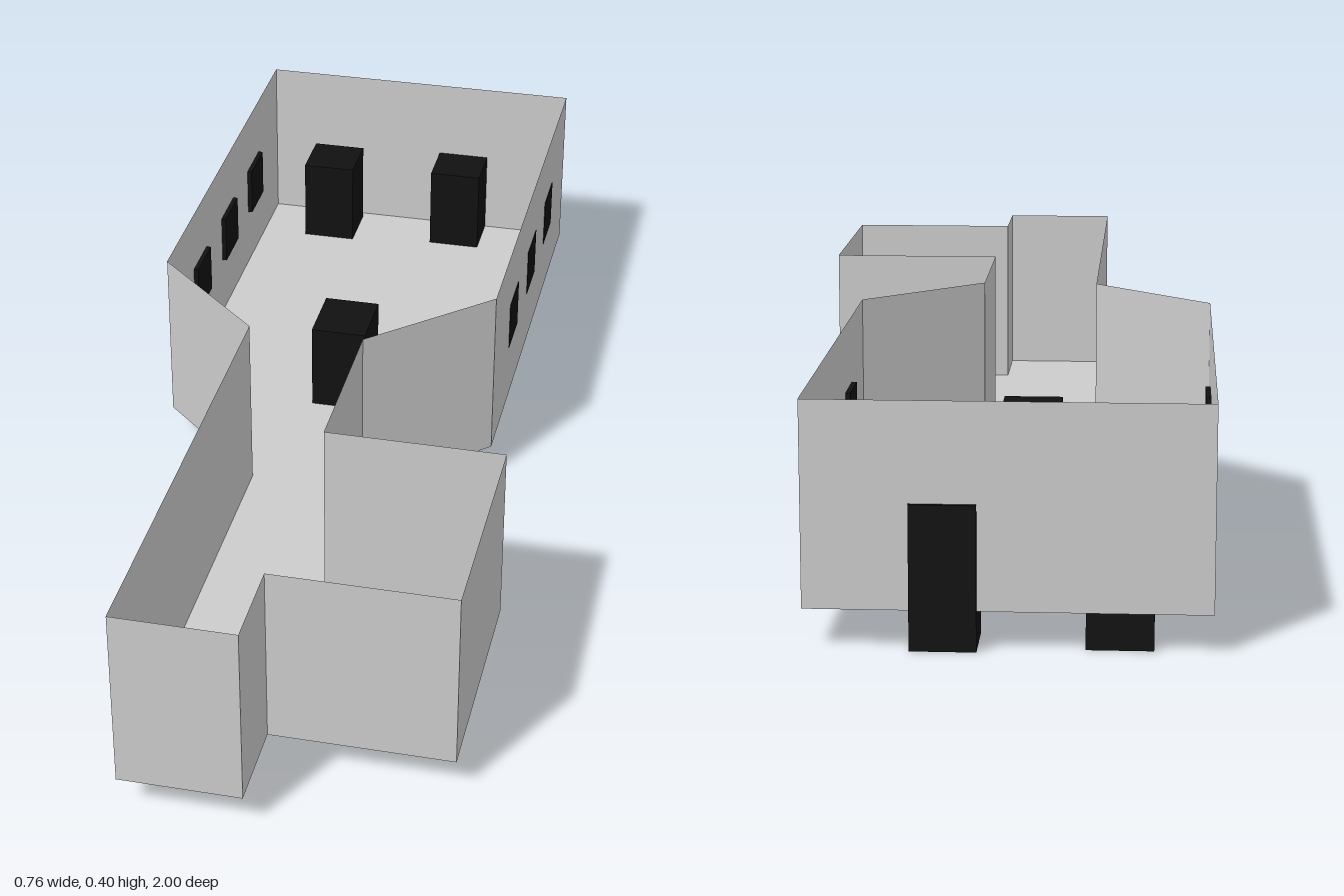
import * as THREE from 'three';

const FLOOR_Y = 0.065, TOP_Y = 0.403;

// Floor plan outline as [x, z]
const PLAN = [
  [-0.38, -0.993], [0.27, -0.993], [0.27, -0.113], [0.054, 0.088],
  [0.054, 0.407], [0.379, 0.407], [0.379, 0.834], [0.054, 0.834],
  [0.054, 1], [-0.163, 1], [-0.163, 0.088], [-0.38, -0.113],
];

export function createModel() {
  const group = new THREE.Group();
  const grey = new THREE.MeshStandardMaterial({ color: 0xcccccc, side: THREE.DoubleSide });
  const black = new THREE.MeshStandardMaterial({ color: 0x111111 });

  const add = (name, geometry, material) => {
    const mesh = new THREE.Mesh(geometry, material);
    mesh.name = name;
    group.add(mesh);
    return mesh;
  };

  // Box given by its min and max on each axis
  const box = (name, [x0, x1], [y0, y1], [z0, z1]) =>
    add(name, new THREE.BoxGeometry(x1 - x0, y1 - y0, z1 - z0), black)
      .position.set((x0 + x1) / 2, (y0 + y1) / 2, (z0 + z1) / 2);

  // Floor: hall, neck, corridor and side room in one sheet
  const plan = new THREE.Shape(PLAN.map(([x, z]) => new THREE.Vector2(x, z)));
  add('floor', new THREE.ShapeGeometry(plan).rotateX(Math.PI / 2), grey).position.y = FLOOR_Y;

  // Thin upright wall along every edge of the plan, facing outward
  PLAN.forEach(([x0, z0], i) => {
    const [x1, z1] = PLAN[(i + 1) % PLAN.length];
    const dx = x1 - x0, dz = z1 - z0;
    const wall = add('wall', new THREE.PlaneGeometry(Math.hypot(dx, dz), TOP_Y - FLOOR_Y), grey);
    wall.position.set((x0 + x1) / 2, (FLOOR_Y + TOP_Y) / 2, (z0 + z1) / 2);
    wall.rotation.y = Math.atan2(dz, -dx);
  });

  // Windows: three flush in each long hall wall, one inside the side room
  const sill = [0.185, 0.283];
  for (const z of [-0.777, -0.56, -0.343]) {
    box('leftWindow', [0.261, 0.271], sill, [z - 0.049, z + 0.049]);
    box('rightWindow', [-0.381, -0.371], sill, [z - 0.049, z + 0.049]);
  }
  box('sideRoomWindow', [0.355, 0.365], sill, [0.585, 0.683]);

  // Blocks standing through the floor; the door cuts the back wall
  box('cornerBlock', [-0.286, -0.178], [0, 0.238], [-0.977, -0.869]);
  box('doorBlock', [-0.007, 0.1], [0, 0.238], [-1, -0.893]);
  box('centreBlock', [-0.11, -0.002], [0, 0.238], [-0.317, -0.19]);

  return group;
}
